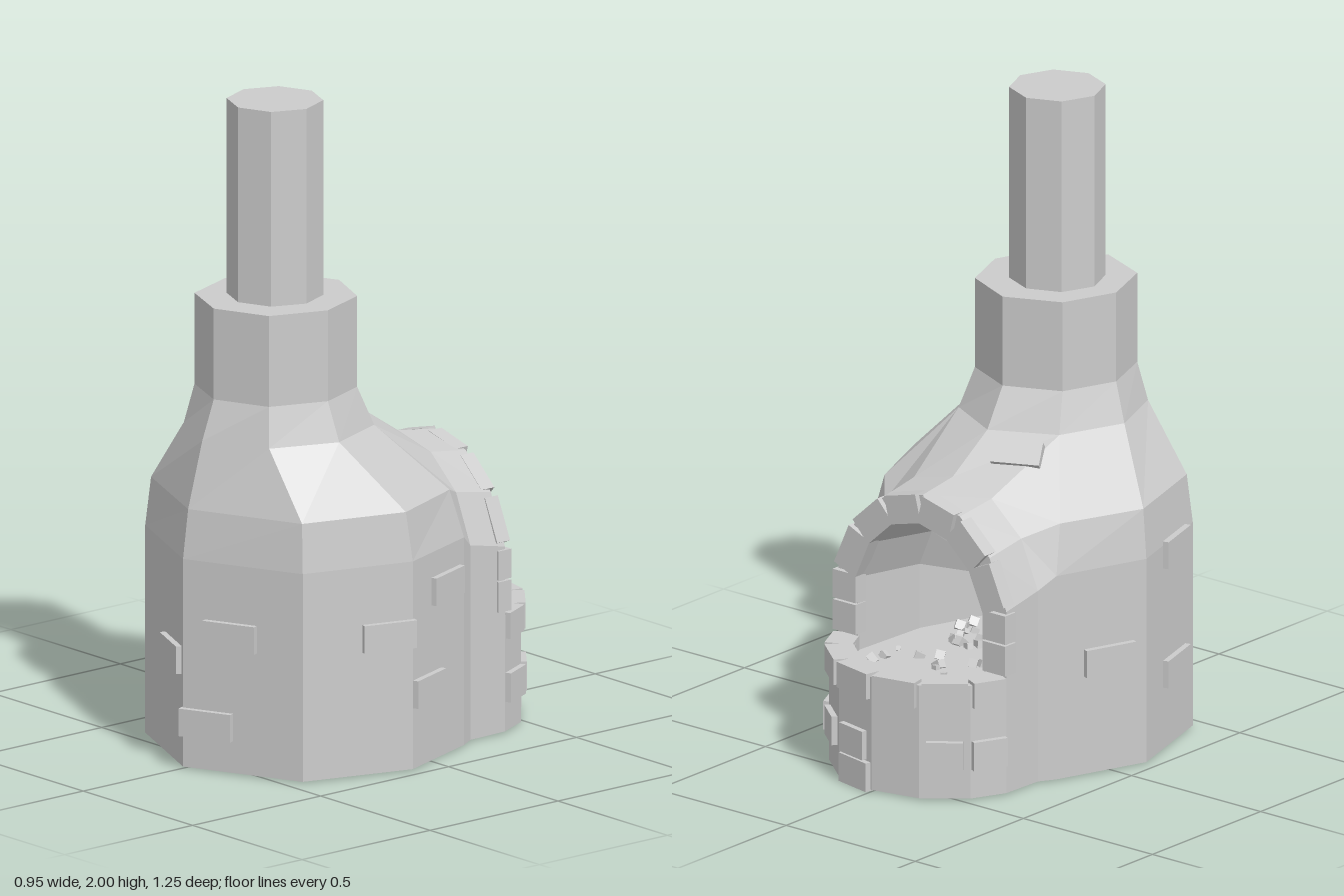
import * as THREE from 'three';

const material = new THREE.MeshStandardMaterial({ color: 0xcccccc, flatShading: true, side: THREE.DoubleSide });

function addMesh(group, name, geometry) {
  const mesh = new THREE.Mesh(geometry, material);
  mesh.name = name;
  group.add(mesh);
  return mesh;
}

// Faceted skin between rows of [x, y, z] points
function skin(rows) {
  const positions = [];
  for (let i = 0; i < rows.length - 1; i++) {
    for (let j = 0; j < rows[i].length - 1; j++) {
      const a = rows[i][j], b = rows[i][j + 1], c = rows[i + 1][j], d = rows[i + 1][j + 1];
      positions.push(...b, ...a, ...c, ...b, ...c, ...d);
    }
  }
  const geometry = new THREE.BufferGeometry();
  geometry.setAttribute('position', new THREE.Float32BufferAttribute(positions, 3));
  geometry.computeVertexNormals();
  return geometry;
}

// Mirror a half row that ends on the centre line
const mirrored = (half) => [...half, ...half.slice(0, -1).reverse().map(([x, ...rest]) => [-x, ...rest])];

// Horizontal polygon from [x, z] points
function flatPolygon(points, y) {
  const shape = new THREE.Shape(points.map(([x, z]) => new THREE.Vector2(x, -z)));
  return new THREE.ShapeGeometry(shape).rotateX(-Math.PI / 2).translate(0, y, 0);
}

// Brick lying on the vertical face between plan points a and b
function brickOn(group, name, a, b, t, y, w = 0.17, h = 0.085) {
  const mesh = addMesh(group, name, new THREE.BoxGeometry(w, h, 0.036));
  const dx = b[0] - a[0], dz = b[1] - a[1];
  mesh.position.set(a[0] + dx * t, y, a[1] + dz * t);
  mesh.rotation.y = Math.atan2(-dz, dx);
}

function random(seed) {
  return () => (seed = (seed * 16807) % 2147483647) / 2147483647;
}

export function createModel() {
  const group = new THREE.Group();
  group.name = 'brickOven';

  // Eight-sided body, open at the back where the hood joins
  const base = [[0.36, -0.18], [0.465, 0.11], [0.36, 0.45], [0, 0.61]];
  const level = (points, y) => mirrored(points.map(([x, z]) => [x, y, z]));
  const shoulder = [[0.195, 0.03], [0.275, 0.235], [0.195, 0.44], [0, 0.535]];
  addMesh(group, 'body', skin([
    level(base, 0.01),
    level(base, 0.65),
    level([[0.34, -0.14], [0.445, 0.12], [0.345, 0.44], [0, 0.59]], 0.8),
    level(shoulder, 1.0),
  ]));

  // Closed neck with a flat top
  const neck = [[0, 0], [0.17, 0.075], [0.235, 0.245], [0.17, 0.42], [0, 0.49]];
  addMesh(group, 'neck', skin([
    level([[0, -0.07], ...shoulder], 1.0),
    level(neck, 1.12),
    level(neck, 1.4),
    level(neck.map(() => [0, 0.245]), 1.4),
  ]));

  // Chimney pipe
  const chimney = addMesh(group, 'chimney', new THREE.CylinderGeometry(0.144, 0.144, 0.62, 8));
  chimney.position.set(-0.007, 1.69, 0.245);

  // Hood flowing out of the body to the arched mouth
  const outer = [[0.325, 0.01], [0.325, 0.58], [0.26, 0.735], [0.145, 0.84], [0, 0.875]];
  const inner = [[0.25, 0.01], [0.25, 0.56], [0.2, 0.68], [0.11, 0.765], [0, 0.795]];
  const arch = (points, z) => mirrored(points.map(([x, y]) => [x, y, z]));
  addMesh(group, 'hood', skin([
    mirrored([[0.36, 0.01, -0.18], [0.36, 0.65, -0.18], [0.34, 0.8, -0.14], [0.195, 1, 0.03], [0, 1, -0.07]]),
    arch([[0.33, 0.01], [0.33, 0.61], [0.265, 0.76], [0.15, 0.86], [0, 0.895]], -0.23),
    arch(outer, -0.37),
    arch(inner, -0.37),
  ]));

  // Chamber lining, narrowing to a closed rear wall
  addMesh(group, 'chamber', skin([
    arch(inner, -0.37),
    arch(inner.map(([x, y]) => [x * 0.95, y * 0.95]), -0.1),
    arch(inner.map(([x, y]) => [x * 0.6, y * 0.8]), 0.15),
    arch(inner.map(() => [0, 0.35]), 0.15),
  ]));

  // Arch stones around the mouth
  const rim = mirrored([[0.29, 0.38], [0.29, 0.48], [0.29, 0.575], [0.23, 0.71], [0.128, 0.803], [0, 0.836]]);
  for (let i = 0; i < rim.length - 1; i++) {
    const [ax, ay] = rim[i], [bx, by] = rim[i + 1];
    const length = Math.hypot(bx - ax, by - ay);
    const stone = addMesh(group, 'archStone', new THREE.BoxGeometry(length * 0.94, 0.088, 0.05));
    stone.position.set((ax + bx) / 2, (ay + by) / 2, -0.362);
    stone.rotation.z = Math.atan2(by - ay, bx - ax);
  }

  // Low curved wall in front of the mouth
  const wallOuter = mirrored([[0.325, -0.37], [0.275, -0.475], [0.155, -0.572], [0, -0.605]]);
  const wallInner = mirrored([[0.25, -0.37], [0.215, -0.43], [0.125, -0.515], [0, -0.54]]);
  const wallShape = new THREE.Shape([...wallOuter, ...[...wallInner].reverse()].map(([x, z]) => new THREE.Vector2(x, -z)));
  const wall = new THREE.ExtrudeGeometry(wallShape, { depth: 0.355, bevelEnabled: false });
  addMesh(group, 'hearthWall', wall.rotateX(-Math.PI / 2).translate(0, 0.01, 0));

  // Rim stones and scattered bricks on the low wall
  for (let i = 0; i < 6; i++) {
    const a = wallOuter[i], b = wallOuter[i + 1];
    const length = Math.hypot(b[0] - a[0], b[1] - a[1]);
    const cap = addMesh(group, 'rimStone', new THREE.BoxGeometry(length * 0.9, 0.08, 0.085));
    const angle = Math.atan2(a[1] - b[1], b[0] - a[0]);
    cap.position.set((a[0] + b[0]) / 2 + Math.sin(angle) * -0.028, 0.335, (a[1] + b[1]) / 2 - Math.cos(angle) * 0.028);
    cap.rotation.y = angle;
    if (i !== 3) brickOn(group, 'wallBrick', a, b, 0.5, 0.145, 0.11, 0.09);
  }
  brickOn(group, 'wallBrick', wallOuter[2], wallOuter[3], 0.55, 0.05, 0.13, 0.09);

  // Hearth floor and underside
  addMesh(group, 'hearthFloor', flatPolygon([...wallInner, [-0.24, -0.1], [-0.15, 0.15], [0.15, 0.15], [0.24, -0.1]], 0.33));
  const plan = [...mirrored(base).reverse(), [0.33, -0.23], ...wallOuter, [-0.33, -0.23]];
  addMesh(group, 'underside', flatPolygon(plan, 0.01));

  // Coals
  const rand = random(7);
  for (let i = 0; i < 34; i++) {
    const size = 0.014 + rand() * 0.016;
    const coal = addMesh(group, 'coal', new THREE.BoxGeometry(size * 1.3, size, size));
    coal.position.set((rand() - 0.5) * 0.38, 0.335, -0.42 + rand() * 0.45);
    coal.rotation.set(rand() * 0.6, rand() * 3, rand() * 0.6);
  }

  // Bricks on the body faces
  const flip = ([x, z]) => [-x, z];
  const [back, side, corner, front] = base;
  const bricks = [
    [front, corner, 0.4, 0.43], [front, corner, 0.2, 0.15], [front, flip(corner), 0.25, 0.335],
    [side, corner, 0.22, 0.43], [side, back, 0.64, 0.53], [side, back, 0.28, 0.24],
    [flip(side), flip(corner), 0.6, 0.62], [flip(side), flip(corner), 0.6, 0.245],
    [flip(side), flip(back), 0.42, 0.36],
  ];
  for (const [a, b, t, y] of bricks) brickOn(group, 'bodyBrick', a, b, t, y);

  // Brick on the slope above the hood
  const slopeBrick = addMesh(group, 'slopeBrick', new THREE.BoxGeometry(0.15, 0.075, 0.036));
  slopeBrick.position.set(-0.13, 0.955, -0.085);
  slopeBrick.rotation.set(-0.75, Math.atan2(-0.42, -0.9), 0, 'YXZ');

  return group;
}
